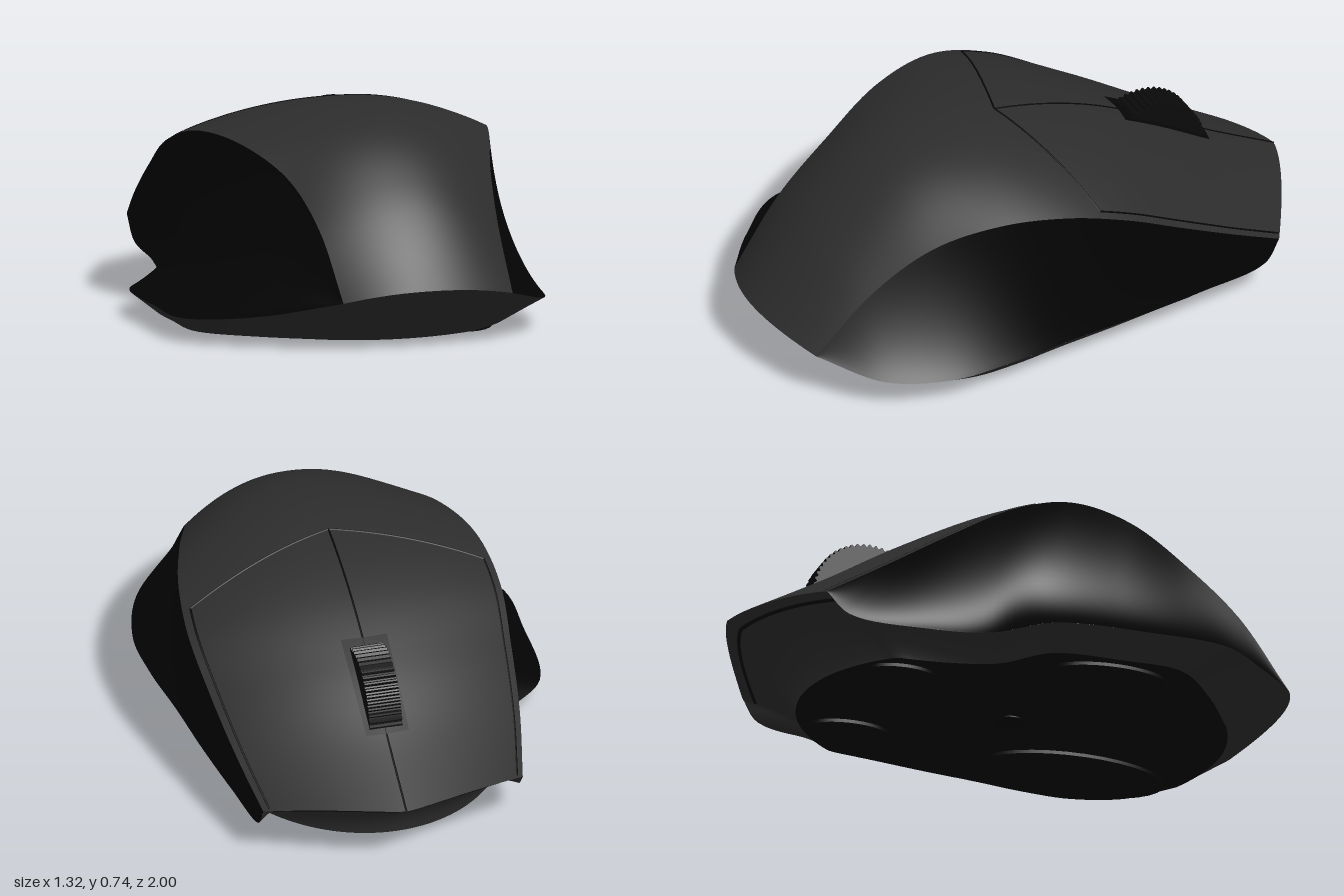
import * as THREE from 'three';
import { ParametricGeometry } from 'three/addons/geometries/ParametricGeometry.js';

const mat = (color) => new THREE.MeshStandardMaterial({ color });
const curve = (pts) => new THREE.CatmullRomCurve3(pts.map((p) => new THREE.Vector3(...p)));
const lerp = THREE.MathUtils.lerp;

// Guide curves, running from the button end (-z) to the palm end (+z)
const ridge = curve([
  [0.08, 0.26, -1], [0.08, 0.39, -0.75], [0.08, 0.535, -0.5], [0.08, 0.652, -0.25], [0.08, 0.72, 0],
  [0.08, 0.742, 0.25], [0.09, 0.69, 0.5], [0.09, 0.515, 0.75], [0.09, 0.215, 1]]);
const rightEdge = curve([
  [-0.38, 0.2, -0.8], [-0.425, 0.32, -0.585], [-0.45, 0.45, -0.37], [-0.465, 0.57, -0.155], [-0.435, 0.64, 0.06],
  [-0.36, 0.632, 0.3], [-0.268, 0.545, 0.535], [-0.225, 0.4, 0.74], [-0.2, 0.175, 0.92]]);
const leftEdge = curve([
  [0.53, 0.2, -0.79], [0.575, 0.31, -0.585], [0.61, 0.425, -0.37], [0.632, 0.535, -0.155], [0.61, 0.597, 0.06],
  [0.55, 0.597, 0.28], [0.475, 0.527, 0.505], [0.427, 0.377, 0.72], [0.41, 0.175, 0.92]]);
const rightLedge = curve([
  [-0.38, 0.2, -0.8], [-0.385, 0.125, -0.72], [-0.41, 0.1, -0.45], [-0.47, 0.09, -0.24], [-0.63, 0.085, -0.06],
  [-0.657, 0.085, 0.27], [-0.641, 0.085, 0.54], [-0.44, 0.115, 0.75], [-0.2, 0.175, 0.92]]);
const leftLedge = curve([
  [0.53, 0.2, -0.79], [0.533, 0.12, -0.735], [0.56, 0.098, -0.48], [0.595, 0.098, -0.2], [0.62, 0.1, 0.05],
  [0.65, 0.1, 0.3], [0.652, 0.1, 0.52], [0.58, 0.118, 0.745], [0.41, 0.175, 0.92]]);

// Top shell: t along the body, v from -1 to 1 across it
function shellPoint(t, v, lift = 0) {
  const c = ridge.getPoint(t);
  const e = (v < 0 ? rightEdge : leftEdge).getPoint(t);
  const s = Math.abs(v);
  return new THREE.Vector3(
    lerp(c.x, e.x, s),
    lerp(c.y, e.y, s ** 2.1) + lift,
    lerp(c.z, e.z, s ** lerp(1.3, 2, t)));
}

// Hollow side panel: k from ledge (0) to shell edge (1)
function panelPoint(edge, ledge, t, k, spread, inset) {
  const a = ledge.getPoint(t), b = edge.getPoint(t);
  const mid = new THREE.Vector3(
    lerp(b.x, a.x, spread) + inset * Math.sin(Math.PI * t),
    lerp(a.y, b.y, 0.3), lerp(a.z, b.z, 0.5));
  return new THREE.QuadraticBezierCurve3(a, mid, b).getPoint(k);
}

// Closed outline where the base meets the shell and panels
function outline(u) {
  const q = Math.min(u, 0.99999) * 4, f = u >= 1 ? 1 : q % 1;
  if (q < 1) return shellPoint(1, f * 2 - 1);
  if (q < 2) return leftLedge.getPoint(1 - f);
  if (q < 3) return shellPoint(0, 1 - f * 2);
  return rightLedge.getPoint(f);
}

// Footprint: the outline shrunk, and rounded to an oval under the buttons
const FLOOR = 0.012;
function floorPoint(p) {
  const low = new THREE.Vector3(-0.03 + (p.x + 0.03) * 0.85, FLOOR, p.z * 0.77);
  if (low.z < -0.15) {
    const dx = low.x - 0.05, dz = low.z + 0.1;
    const shrink = 1 / Math.max(1, Math.hypot(dx / 0.52, dz / 0.64));
    low.x = 0.05 + dx * shrink;
    low.z = -0.1 + dz * shrink;
  }
  return low;
}

function rimPoint(u, k) {
  const top = outline(u), low = floorPoint(top);
  const mid = low.clone().lerp(top, 0.5);
  const hollow = top.z < 0 ? Math.min(1, -top.z) : 0;
  mid.x = lerp(mid.x, low.x, hollow);
  mid.z = lerp(mid.z, low.z, hollow);
  return new THREE.QuadraticBezierCurve3(low, mid, top).getPoint(k);
}

export function createModel() {
  const group = new THREE.Group();
  const shellMat = mat(0x2c2c2c), panelMat = mat(0x030303), rimMat = mat(0x2a2a2a), darkMat = mat(0x050505);

  const add = (name, geometry, material) => {
    const mesh = new THREE.Mesh(geometry, material);
    mesh.name = name;
    group.add(mesh);
    return mesh;
  };
  const surface = (name, fn, nu, nv, material) => {
    const g = new ParametricGeometry((u, v, target) => target.copy(fn(u, v)), nu, nv);
    g.computeVertexNormals();
    return add(name, g, material);
  };

  // Body surfaces
  surface('topShell', (u, v) => shellPoint(u, v * 2 - 1), 64, 48, shellMat);
  surface('leftPanel', (u, v) => panelPoint(leftEdge, leftLedge, v, u, 0.5, -0.02), 20, 64, panelMat);
  surface('thumbPanel', (u, v) => panelPoint(rightEdge, rightLedge, u, v, u * 0.3, 0.14), 64, 24, panelMat);
  surface('baseRim', rimPoint, 192, 12, rimMat);
  surface('bottomPlate', (u, v) => new THREE.Vector3(0, FLOOR, 0).lerp(floorPoint(outline(u)), v), 192, 4, darkMat);

  // Seams around the two buttons, given as [t, v] ends on the shell
  const seam = (name, point, radius = 0.004) => {
    const pts = Array.from({ length: 25 }, (_, i) => point(i / 24));
    add(name, new THREE.TubeGeometry(new THREE.CatmullRomCurve3(pts), 48, radius, 5), darkMat);
  };
  const onShell = (t0, v0, t1, v1, bow = 0) => (k) =>
    shellPoint(lerp(t0, t1, k) + bow * 4 * k * (1 - k), lerp(v0, v1, k), -0.001);
  seam('buttonSplit', onShell(0, 0, 0.535, 0));
  for (const side of [-1, 1]) {
    seam('buttonRearSeam', onShell(0.43, side * 0.95, 0.535, 0, 0.009));
    seam('buttonSideSeam', onShell(0.005, side * 0.95, 0.43, side * 0.95));
  }
  seam('buttonLipSeam', (k) => rimPoint(lerp(0.5, 0.75, k), 0.9), 0.007);

  // Scroll wheel in its slot
  surface('wheelSlot', (u, v) => shellPoint(lerp(0.135, 0.3, u), lerp(-0.16, 0.14, v), 0.003), 12, 8, darkMat);
  const gear = new THREE.Shape();
  const teeth = 56;
  for (let i = 0; i < teeth * 4; i++) {
    const a = (i / (teeth * 4)) * Math.PI * 2;
    const r = i % 4 < 2 ? 0.2 : 0.192;
    gear[i ? 'lineTo' : 'moveTo'](Math.cos(a) * r, Math.sin(a) * r);
  }
  const wheelGeo = new THREE.ExtrudeGeometry(gear, { depth: 0.115, bevelEnabled: false });
  wheelGeo.translate(0, 0, -0.0575).rotateY(Math.PI / 2);
  add('scrollWheel', wheelGeo, mat(0x0a0a0a)).position.set(0.076, 0.395, -0.51);

  // Glide feet and sensor window underneath: x, z, width, length
  for (const [x, z, w, l] of [[-0.43, 0.2, 0.2, 0.42], [0.35, 0.33, 0.32, 0.66], [-0.22, -0.48, 0.15, 0.26], [0.27, -0.5, 0.16, 0.3]]) {
    const foot = add('glideFoot', new THREE.CylinderGeometry(0.5, 0.5, 0.014, 32), darkMat);
    foot.scale.set(w, 1, l);
    foot.position.set(x, 0.007, z);
  }
  const sensor = add('sensorWindow', new THREE.CylinderGeometry(0.05, 0.05, 0.006, 24), panelMat);
  sensor.position.set(0.03, FLOOR - 0.001, 0);

  return group;
}
